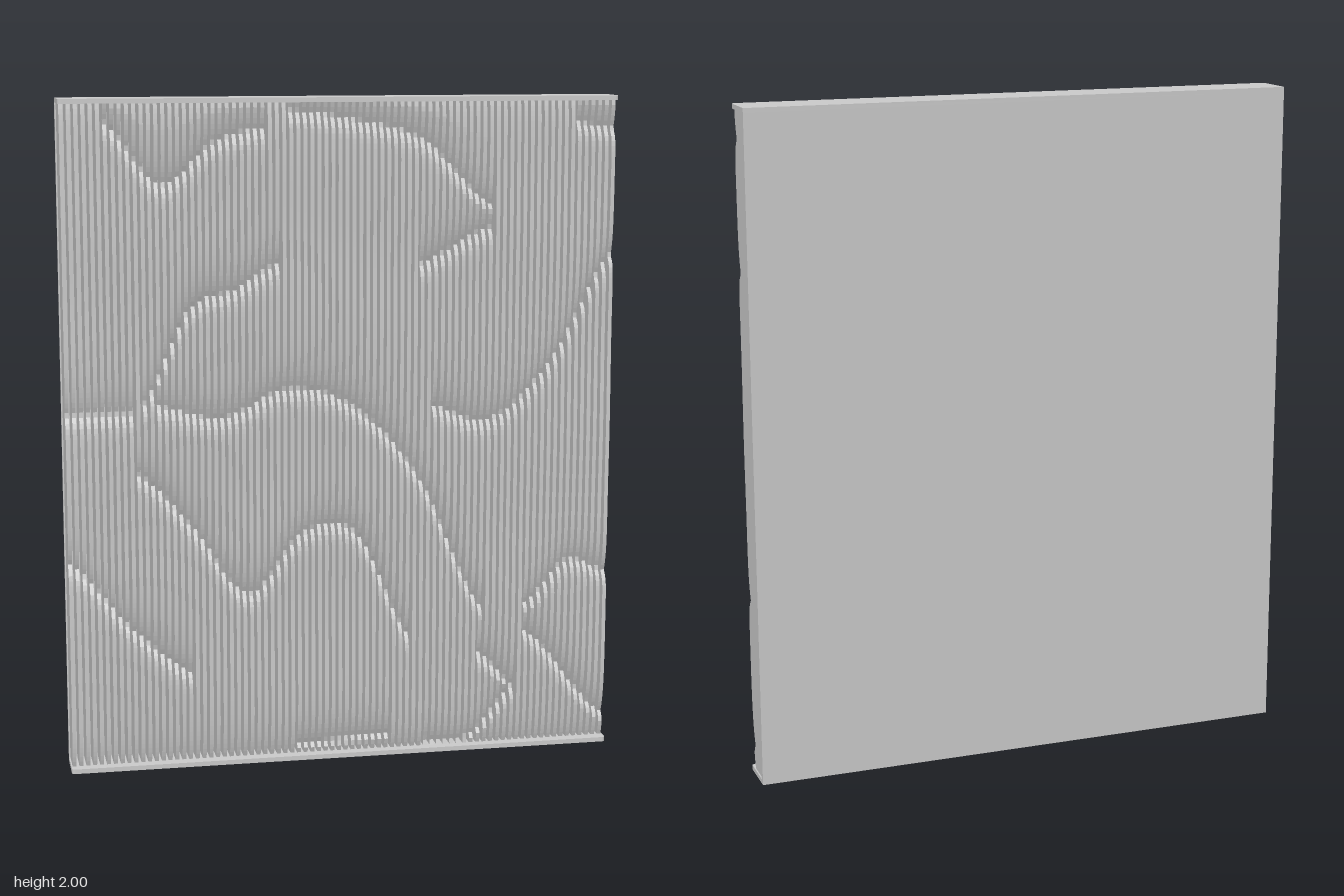
import * as THREE from 'three';

const W = 1.66, H = 2, D = 0.134, PLATE = 0.014, BACK = 0.014;
const SLATS = 80, SLAT_W = 0.0115, STEPS = 130;
const FRONT = 0.057; // z of the slat fronts before carving

// A crease of the carved relief: a smooth line from x0 to x1 through evenly spaced heights
function crease(x0, x1, ...heights) {
  const curve = new THREE.SplineCurve(heights.map((y, i) => new THREE.Vector2(i, y)));
  return { x0, x1, heightAt: (x) => curve.getPoint((x - x0) / (x1 - x0)).y };
}

const CREASES = [
  crease(-0.83, -0.62, 1.08, 1.08),
  crease(-0.56, 0.43, 1.1, 1.06, 1.14, 1.08, 0.86, 0.45),
  crease(-0.6, -0.18, 1.1, 1.38, 1.44, 1.52),
  crease(-0.7, -0.22, 1.93, 1.75, 1.87, 1.91),
  crease(-0.17, 0.45, 1.96, 1.93, 1.87, 1.68),
  crease(0.22, 0.45, 1.5, 1.61),
  crease(0.26, 0.83, 1.08, 1.03, 1.2, 1.53),
  crease(-0.62, 0.21, 0.9, 0.73, 0.52, 0.7, 0.69, 0.36),
  crease(-0.83, -0.45, 0.64, 0.43, 0.28),
  crease(0.57, 0.83, 0.45, 0.58, 0.54),
  crease(0.56, 0.83, 0.37, 0.08),
  crease(0.42, 0.55, 0.3, 0.18),
  crease(-0.15, 0.15, 0.04, 0.06),
  crease(0.25, 0.55, 0.03, 0.04, 0.2),
  crease(0.7, 0.83, 1.92, 1.9),
];

// Front of a slat: recedes gradually down to each crease, then steps out again
function frontZ(heights, x, y) {
  let dip = 0.028 * Math.exp(-y / 0.06) + 0.014 * Math.exp((y - H) / 0.05);
  for (const h of heights) {
    const d = y - h;
    dip = Math.max(dip, 0.028 * Math.exp(d > 0 ? -d / 0.06 : d / 0.018));
  }
  const swell = 0.003 * Math.sin(5 * x + 2 * Math.sin(4 * y)) * Math.cos(7 * y);
  return FRONT + swell - dip;
}

function slatGeometry(x) {
  const heights = CREASES.filter((c) => x >= c.x0 && x <= c.x1).map((c) => c.heightAt(x));
  const back = -D / 2 + BACK, bottom = PLATE, top = H - PLATE;
  const shape = new THREE.Shape();
  shape.moveTo(back, bottom);
  for (let i = 0; i <= STEPS; i++) {
    const y = bottom + ((top - bottom) * i) / STEPS;
    shape.lineTo(frontZ(heights, x, y), y);
  }
  shape.lineTo(back, top);
  const geo = new THREE.ExtrudeGeometry(shape, { depth: SLAT_W, bevelEnabled: false });
  geo.rotateY(-Math.PI / 2);
  return geo.translate(x + SLAT_W / 2, 0, 0);
}

// Thin cap plate with rounded front corners
function plateGeometry(topY) {
  const r = 0.01, w = W / 2, d = D / 2;
  const shape = new THREE.Shape();
  shape.moveTo(-w, -d);
  shape.lineTo(w, -d);
  shape.absarc(w - r, d - r, r, 0, Math.PI / 2);
  shape.absarc(-w + r, d - r, r, Math.PI / 2, Math.PI);
  const geo = new THREE.ExtrudeGeometry(shape, { depth: PLATE, bevelEnabled: false, curveSegments: 4 });
  return geo.rotateX(Math.PI / 2).translate(0, topY, 0);
}

export function createModel() {
  const model = new THREE.Group();
  model.name = 'wavySlatPanel';
  const material = new THREE.MeshStandardMaterial({ color: 0xcccccc });
  const add = (parent, name, geo) => {
    const mesh = new THREE.Mesh(geo, material);
    mesh.name = name;
    parent.add(mesh);
  };

  // Frame: back board with a plate above and below
  const board = new THREE.BoxGeometry(W, H - 2 * PLATE, BACK);
  add(model, 'backBoard', board.translate(0, H / 2, -D / 2 + BACK / 2));
  add(model, 'topPlate', plateGeometry(H));
  add(model, 'bottomPlate', plateGeometry(PLATE));

  // Row of upright slats with carved fronts
  const slats = new THREE.Group();
  slats.name = 'slats';
  model.add(slats);
  const span = W - SLAT_W - 0.008;
  for (let i = 0; i < SLATS; i++) {
    add(slats, 'slat', slatGeometry(-span / 2 + (span * i) / (SLATS - 1)));
  }
  return model;
}
